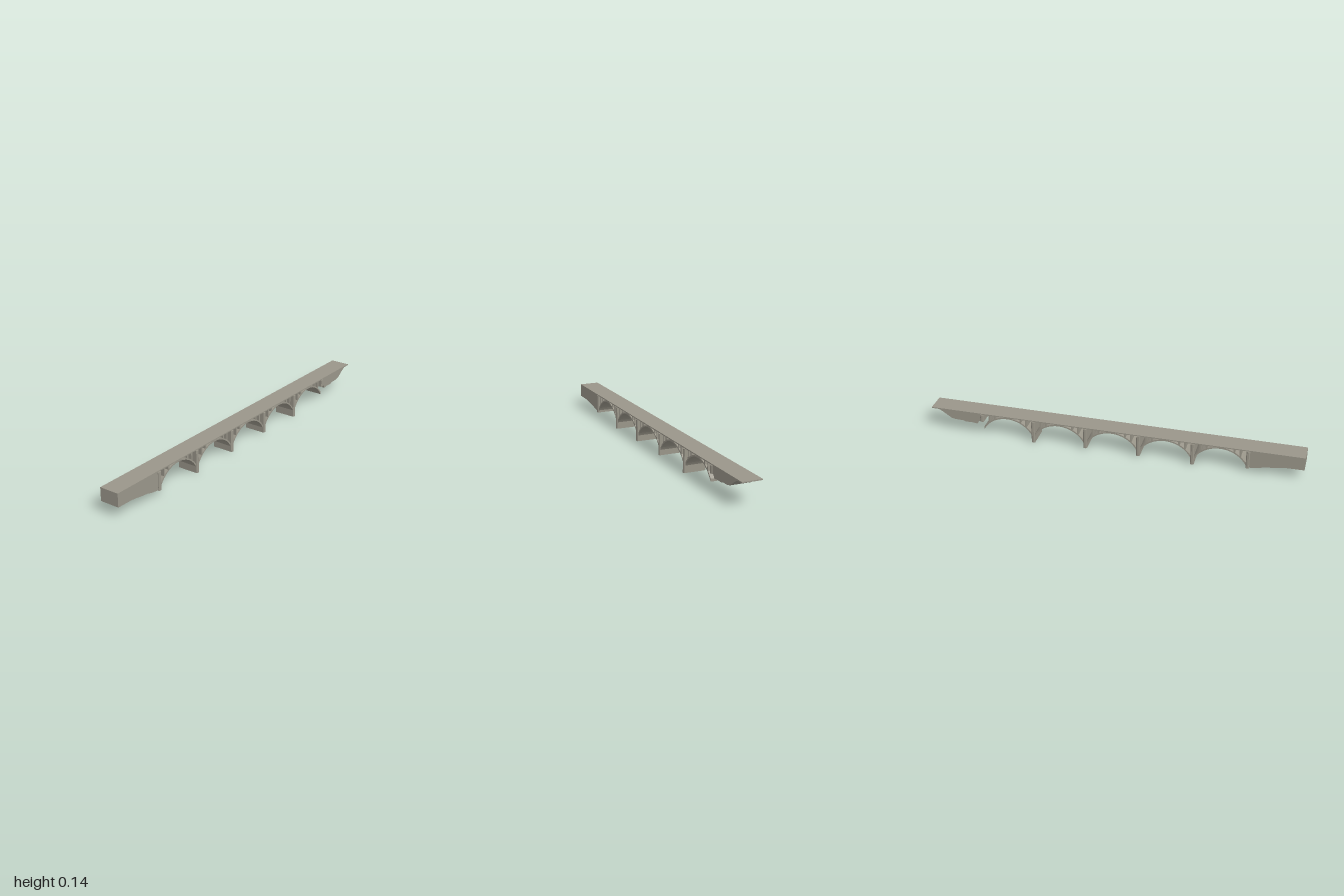
import * as THREE from 'three';

const WIDTH = 0.112, HALF = 1.051, TOP = 0.136, SLAB = 0.13;
const BAY = 0.3;                      // pier spacing
const CROWN = 0.123, R_IN = 0.16, R_OUT = 0.168, SPRING = 0.14;

export function createModel() {
  const group = new THREE.Group();
  const stone = new THREE.MeshStandardMaterial({ color: 0x9a968a, flatShading: true });
  const bridge = new THREE.Group();
  bridge.name = 'bridge';
  group.add(bridge);

  const add = (name, geometry, x = 0, y = 0) => {
    const mesh = new THREE.Mesh(geometry, stone);
    mesh.name = name;
    mesh.position.set(x, y, 0);
    bridge.add(mesh);
  };
  const toShape = pts => new THREE.Shape(pts.map(p => new THREE.Vector2(p[0], p[1])));
  // Side outline (length, height) extruded across the bridge
  const across = (pts, width) => new THREE.ExtrudeGeometry(toShape(pts), { depth: width, bevelEnabled: false })
    .translate(0, 0, -width / 2);
  // Height of an arch curve at distance x from mid-span
  const arcY = (x, r) => CROWN - R_IN + Math.sqrt(r * r - x * x);

  // Roadway
  add('deck', new THREE.BoxGeometry(2 * HALF, TOP - SLAB, WIDTH), 0, (TOP + SLAB) / 2);

  // Arch rings
  const inner = [], outer = [];
  for (let i = 0; i <= 24; i++) {
    const x = SPRING * Math.sin((i / 12 - 1) * Math.PI / 2);
    inner.push([x, arcY(x, R_IN)]);
    outer.unshift([x, arcY(x, R_OUT)]);
  }
  for (let i = -2; i <= 2; i++) {
    add('archRing', across([...inner, ...outer], WIDTH), i * BAY);
    // Cross walls carrying the deck above the haunches
    for (const side of [-1, 1]) for (const d of [0.075, 0.108]) {
      const base = arcY(d, R_OUT) - 0.006;
      add('spandrelWall', new THREE.BoxGeometry(0.009, SLAB - base, WIDTH), i * BAY + side * d, (SLAB + base) / 2);
    }
  }

  // Piers with pointed pilasters on both faces
  const t = 0.01, w = WIDTH / 2, n = 0.007;
  const plan = [[-t, -w - n / 2], [-t / 2, -w - n], [t / 2, -w - n], [t, -w - n / 2],
    [t, w + n / 2], [t / 2, w + n], [-t / 2, w + n], [-t, w + n / 2]];
  [0.027, 0.002, 0.007, 0.01, 0, 0.088].forEach((base, i) => {
    const geometry = new THREE.ExtrudeGeometry(toShape(plan), { depth: SLAB - base, bevelEnabled: false });
    add('pier', geometry.rotateX(-Math.PI / 2), (i - 2.5) * BAY, base);
  });

  // Solid end walls with undersides following the ground
  add('nearAbutment', across([[-HALF, SLAB], [-HALF, 0.061], [-0.96, 0.06], [-0.93, 0.057], [-0.88, 0.049],
    [-0.84, 0.045], [-0.81, 0.036], [-0.77, 0.031], [-0.75, 0.028], [-0.75, SLAB]], WIDTH), 0);
  add('farAbutment', across([[0.752, SLAB], [0.752, 0.088], [0.77, 0.085], [0.782, 0.068], [0.81, 0.072],
    [0.85, 0.071], [0.865, 0.077], [0.91, 0.078], [0.935, 0.083], [0.96, 0.1], [0.985, 0.117], [1.01, SLAB]], WIDTH), 0);

  // The bridge runs diagonally
  bridge.rotation.y = Math.acos(0.362);
  return group;
}
